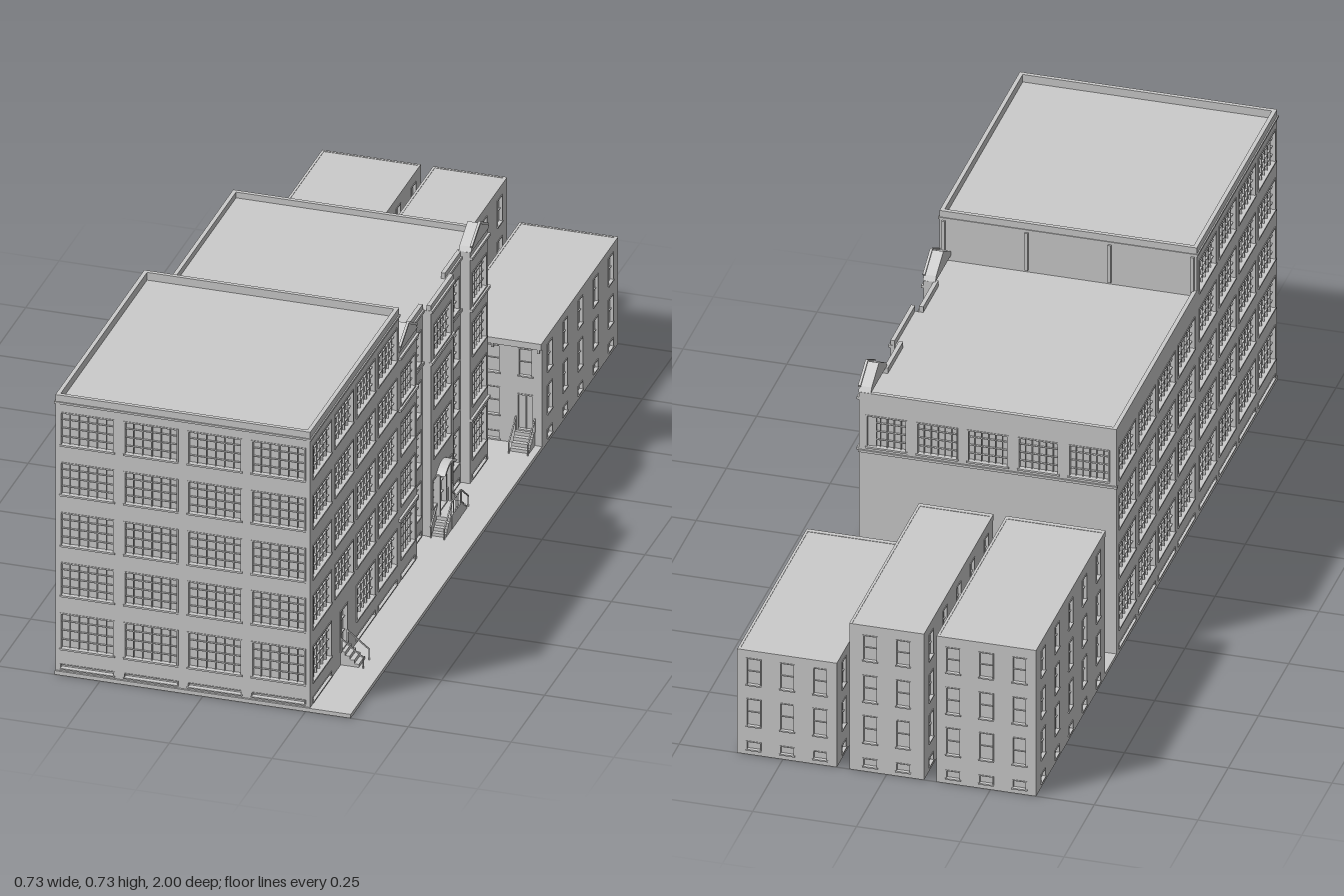
import * as THREE from 'three';
import { mergeGeometries } from 'three/addons/utils/BufferGeometryUtils.js';

const grey = new THREE.MeshStandardMaterial({ color: 0xcccccc });
const FLOORS = [[0.065, 0.16], [0.203, 0.292], [0.333, 0.422], [0.465, 0.552], [0.594, 0.682]];
const HOUSE_FLOORS = [[0.012, 0.036], [0.075, 0.15], [0.185, 0.258], [0.295, 0.365]];

// Box given by its minimum and maximum corners
function span(x0, x1, y0, y1, z0, z1) {
  return new THREE.BoxGeometry(x1 - x0, y1 - y0, z1 - z0)
    .translate((x0 + x1) / 2, (y0 + y1) / 2, (z0 + z1) / 2);
}

function add(parent, name, geometry) {
  const mesh = new THREE.Mesh(Array.isArray(geometry) ? mergeGeometries(geometry) : geometry, grey);
  mesh.name = name;
  parent.add(mesh);
  return mesh;
}

// Slim bar between two points
function bar(a, b, r = 0.0015) {
  const p = new THREE.Vector3(...a), q = new THREE.Vector3(...b);
  const g = new THREE.BoxGeometry(r * 2, r * 2, p.distanceTo(q));
  const turn = new THREE.Quaternion().setFromUnitVectors(new THREE.Vector3(0, 0, 1), q.clone().sub(p).normalize());
  g.applyQuaternion(turn);
  return g.translate((p.x + q.x) / 2, (p.y + q.y) / 2, (p.z + q.z) / 2);
}

// Wall panel with true openings, window frames, glazing bars and sills; faces local +z
function facade(parent, name, cx, cz, angle, w, h, openings = [], t = 0.01) {
  const group = new THREE.Group();
  group.name = name;
  group.position.set(cx, 0, cz);
  group.rotation.y = angle;
  const wall = new THREE.Shape();
  wall.moveTo(-w / 2, 0).lineTo(w / 2, 0).lineTo(w / 2, h).lineTo(-w / 2, h).closePath();
  const trim = [];
  for (const o of openings) {
    const l = o.u - o.w / 2, r = o.u + o.w / 2, { y0, y1 } = o, f = o.frame ?? 0.0035;
    const hole = new THREE.Path();
    hole.moveTo(l, y0).lineTo(l, y1).lineTo(r, y1).lineTo(r, y0).closePath();
    wall.holes.push(hole);
    trim.push(span(l, l + f, y0, y1, -t, 0.0015), span(r - f, r, y0, y1, -t, 0.0015),
      span(l, r, y1 - f, y1, -t, 0.0015), span(l - 0.001, r + 0.001, y0 - 0.001, y0 + f, -t, 0.003));
    for (let i = 1; i < o.cols; i++) {
      const x = l + (o.w * i) / o.cols;
      const b = i * 2 === o.cols ? 0.0014 : 0.0009;
      trim.push(span(x - b, x + b, y0, y1, -t, -t * 0.5));
    }
    for (let j = 1; j < o.rows; j++) {
      const y = y0 + ((y1 - y0) * j) / o.rows;
      trim.push(span(l, r, y - 0.0009, y + 0.0009, -t, -t * 0.5));
    }
  }
  add(group, 'wall', new THREE.ExtrudeGeometry(wall, { depth: t, bevelEnabled: false }).translate(0, 0, -t));
  if (trim.length) add(group, 'windowFrames', trim);
  parent.add(group);
  return group;
}

// Rows of factory windows over a strip of basement lights
function bays(columns, w, floors, cols = 6, basement = true) {
  const list = [];
  for (const u of columns) {
    for (const [y0, y1] of floors) list.push({ u, w, y0, y1, cols, rows: 4 });
    if (basement) list.push({ u, w, y0: 0.015, y1: 0.028, cols: 1, rows: 1, frame: 0.002 });
  }
  return list;
}

const spread = (n, step) => Array.from({ length: n }, (_, i) => (i - (n - 1) / 2) * step);

// Solid stair descending towards +z from z = 0, with railings
function stair(width, run, rise, n = 5) {
  const parts = [];
  for (let i = 0; i < n; i++) parts.push(span(-width / 2, width / 2, 0, rise * (1 - i / n), i ? run * i / n : 0, run * (i + 1) / n));
  for (const x of [-width / 2, width / 2]) {
    parts.push(bar([x, rise + 0.035, 0], [x, 0.037, run]), bar([x, rise, 0.002], [x, rise + 0.035, 0.002]),
      bar([x, 0, run], [x, 0.037, run]));
  }
  return mergeGeometries(parts);
}

function tallBlock() {
  const g = new THREE.Group();
  g.name = 'tallBlock';
  const H = 0.725, sides = spread(4, 0.163), zc = 0.663;
  add(g, 'coreAndRoof', span(-0.35, 0.25, 0, 0.705, 0.34, 0.985));
  facade(g, 'frontFacade', -0.05, 0.995, 0, 0.62, H, bays(spread(4, 0.155), 0.133, FLOORS));
  facade(g, 'leftSideFacade', -0.36, zc, -Math.PI / 2, 0.665, H, bays(sides, 0.14, FLOORS));
  // Entrance replaces one ground floor window
  const doorU = zc - 0.745;
  const right = bays(sides, 0.14, FLOORS).filter(o => !(Math.abs(o.u - doorU) < 0.03 && o.y0 < 0.1));
  right.push({ u: -doorU * -1, w: 0.055, y0: 0.045, y1: 0.15, cols: 2, rows: 3 });
  facade(g, 'rightSideFacade', 0.26, zc, Math.PI / 2, 0.665, H, right);
  facade(g, 'rearWall', -0.05, 0.33, Math.PI, 0.62, H);
  add(g, 'rearPilasters', [-0.35, -0.15, 0.05, 0.25].map(x => span(x - 0.004, x + 0.004, 0.6, 0.7, 0.325, 0.332)));
  add(g, 'cornice', [span(-0.363, 0.263, 0.703, 0.708, 0.985, 0.998), span(-0.363, -0.355, 0.703, 0.708, 0.33, 0.998),
    span(0.255, 0.263, 0.703, 0.708, 0.33, 0.998), span(-0.363, 0.263, 0.703, 0.708, 0.328, 0.335)]);
  add(g, 'sideStair', stair(0.045, 0.055, 0.045)).position.set(0.26, 0, 0.745);
  g.children.at(-1).rotation.y = Math.PI / 2;
  return g;
}

function middleBlock() {
  const g = new THREE.Group();
  g.name = 'middleBlock';
  const H = 0.61, floors = FLOORS.slice(0, 4), roof = 0.595;
  add(g, 'coreAndRoof', span(-0.35, 0.227, 0, roof, -0.325, 0.335));
  facade(g, 'leftSideFacade', -0.36, -0.0025, -Math.PI / 2, 0.665, H, bays(spread(4, 0.163), 0.14, floors));
  facade(g, 'rearFacade', -0.05, -0.335, Math.PI, 0.62, H, bays(spread(5, 0.122), 0.1, floors.slice(3), 6, false));
  add(g, 'rearBand', span(-0.362, 0.262, 0.452, 0.458, -0.339, -0.33));
  // Street side: two gabled pavilions, two recessed bays and a centre bay
  for (const s of [1, -1]) {
    add(g, 'pavilionCore', span(0.22, 0.25, 0, roof, s > 0 ? 0.2 : -0.33, s > 0 ? 0.33 : -0.2));
    facade(g, 'pavilionFacade', 0.26, s * 0.267, Math.PI / 2, 0.136, H, bays([0], 0.105, floors));
    facade(g, 'recessedFacade', 0.237, s * 0.143, Math.PI / 2, 0.12, H, bays([0], 0.09, floors, 4));
    const gable = new THREE.Shape();
    gable.moveTo(-0.067, 0).lineTo(0.067, 0).lineTo(0.06, 0.012).lineTo(0, 0.045).lineTo(-0.06, 0.012).closePath();
    const top = add(g, 'gable', new THREE.ExtrudeGeometry(gable, { depth: 0.03, bevelEnabled: false }));
    top.position.set(0.232, H, s * 0.267);
    top.rotation.y = Math.PI / 2;
    add(g, 'gableCoping', [-1, 1].map(k => bar([0.261, H + 0.012, s * 0.267 + k * 0.062], [0.261, H + 0.046, s * 0.267], 0.003)));
    add(g, 'pavilionBands', [0.17, 0.455, 0.59].map(y => span(0.25, 0.266, y, y + 0.007, s * 0.267 - 0.068, s * 0.267 + 0.068)));
    add(g, 'pavilionReturn', span(0.227, 0.255, 0, H, s * 0.205 - 0.005, s * 0.205 + 0.005));
    add(g, 'recessedBands', [0.455, 0.59].map(y => span(0.23, 0.241, y, y + 0.007, s * 0.143 - 0.06, s * 0.143 + 0.06)));
  }
  add(g, 'centreCore', span(0.22, 0.247, 0, roof, -0.084, 0.084));
  facade(g, 'centreFacade', 0.257, 0, Math.PI / 2, 0.17, H, [
    ...bays([0], 0.13, floors.slice(1), 6, false),
    { u: 0, w: 0.06, y0: 0.045, y1: 0.14, cols: 2, rows: 3 },
    ...[-0.058, 0.058].map(u => ({ u, w: 0.03, y0: 0.075, y1: 0.15, cols: 2, rows: 4 }))]);
  add(g, 'centreBands', [0.455, 0.59].map(y => span(0.25, 0.262, y, y + 0.007, -0.086, 0.086)));
  entrance(g);
  return g;
}

// Arched hood above a landing with a flight on either side
function entrance(parent) {
  const g = new THREE.Group();
  g.name = 'mainEntrance';
  const arch = new THREE.Shape();
  arch.moveTo(-0.046, 0).quadraticCurveTo(0, 0.038, 0.046, 0).lineTo(0.036, 0).quadraticCurveTo(0, 0.024, -0.036, 0).closePath();
  const hood = add(g, 'archedHood', new THREE.ExtrudeGeometry(arch, { depth: 0.022, bevelEnabled: false, curveSegments: 10 }));
  hood.position.set(0.257, 0.15, 0);
  hood.rotation.y = Math.PI / 2;
  add(g, 'hoodPosts', [-0.041, 0.041].map(z => span(0.257, 0.266, 0.045, 0.152, z - 0.004, z + 0.004)));
  add(g, 'landing', span(0.255, 0.292, 0, 0.045, -0.035, 0.035));
  add(g, 'landingRail', [bar([0.291, 0.08, -0.035], [0.291, 0.08, 0.035]),
    ...spread(6, 0.013).map(z => bar([0.291, 0.045, z], [0.291, 0.08, z], 0.0008))]);
  for (const s of [1, -1]) {
    const flight = add(g, 'flight', stair(0.033, 0.055, 0.045));
    flight.position.set(0.275, 0, s * 0.035);
    flight.rotation.y = s > 0 ? 0 : Math.PI;
  }
  parent.add(g);
}

// Row house; doorX is the column holding the front door
function rowHouse(name, x0, x1, h, columns, doorX) {
  const g = new THREE.Group();
  g.name = name;
  const xc = (x0 + x1) / 2, z0 = -1, z1 = -0.43, t = 0.006;
  const floors = HOUSE_FLOORS.filter(f => f[1] < h);
  const grid = us => us.flatMap(u => floors.map(([y0, y1], i) => ({ u, w: 0.036, y0, y1, cols: 1, rows: i ? 2 : 1, frame: 0.0025 })));
  const front = grid(columns).filter(o => !(Math.abs(o.u - (doorX - xc)) < 0.01 && o.y0 < 0.1));
  front.push({ u: doorX - xc, w: 0.042, y0: 0.045, y1: 0.14, cols: 2, rows: 1 });
  add(g, 'coreAndRoof', span(x0 + t, x1 - t, 0, h - 0.001, z0 + t, z1 - t));
  facade(g, 'frontFacade', xc, z1, 0, x1 - x0, h, front, t);
  facade(g, 'rearFacade', xc, z0, Math.PI, x1 - x0, h, grid(columns), t);
  for (const s of [1, -1])
    facade(g, 'sideFacade', s > 0 ? x1 : x0, -0.715, s * Math.PI / 2, 0.57, h, grid(spread(5, 0.114)), t);
  add(g, 'cornice', [span(x0, x1, h - 0.016, h, z1 - 0.002, z1 + 0.006),
    ...[x0 + 0.008, xc, x1 - 0.008].map(x => span(x - 0.003, x + 0.003, h - 0.026, h - 0.016, z1 - 0.002, z1 + 0.005))]);
  add(g, 'frontStair', stair(0.046, 0.055, 0.045)).position.set(doorX, 0, z1);
  return g;
}

export function createModel() {
  const model = new THREE.Group();
  model.name = 'cityBlock';
  add(model, 'groundSlab', span(-0.36, 0.36, 0, 0.01, -0.43, 1));
  model.add(tallBlock(), middleBlock(),
    rowHouse('leftRowHouse', 0.12, 0.36, 0.278, spread(3, 0.08), 0.32),
    rowHouse('middleRowHouse', -0.09, 0.09, 0.39, spread(2, 0.08), 0.04),
    rowHouse('rightRowHouse', -0.36, -0.12, 0.39, spread(3, 0.08), -0.16));
  return model;
}
